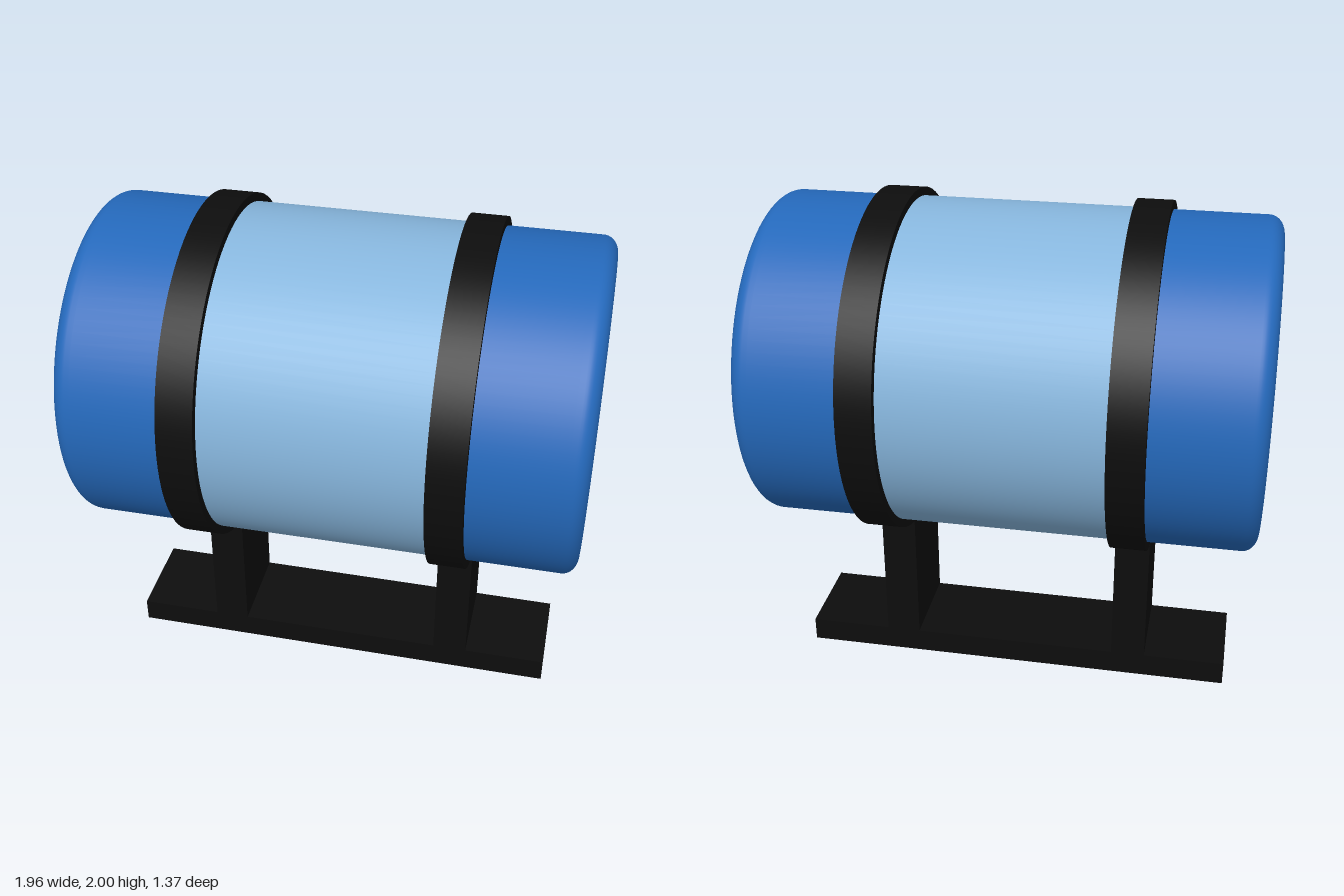
import * as THREE from 'three';

const SEGMENTS = 96;
const AXIS_Y = 1.315;

export function createModel() {
  const model = new THREE.Group();
  model.name = 'drumOnStand';

  const flat = (name, color) => {
    const m = new THREE.MeshStandardMaterial({ color });
    m.name = name;
    return m;
  };
  const blue = flat('deepBlue', 0x2468ba);
  const lightBlue = flat('lightBlue', 0x86b5dc);
  const black = flat('black', 0x0d0d0d);

  const add = (name, geometry, material, x, y) => {
    const mesh = new THREE.Mesh(geometry, material);
    mesh.name = name;
    mesh.position.set(x, y, 0);
    model.add(mesh);
    return mesh;
  };

  // End cap profile: straight wall, softly rounded rim, flat end
  const profile = [new THREE.Vector2(0.65, 0.48), new THREE.Vector2(0.65, 0.9)];
  const rimSteps = 10;
  for (let i = 0; i <= rimSteps; i++) {
    const a = (i / rimSteps) * Math.PI / 2;
    profile.push(new THREE.Vector2(0.58 + 0.07 * Math.cos(a), 0.92 + 0.06 * Math.sin(a)));
  }
  profile.push(new THREE.Vector2(0.56, 0.98), new THREE.Vector2(0, 0.98));
  const capGeometry = new THREE.LatheGeometry(profile, SEGMENTS);

  // Middle section of the drum
  const middle = new THREE.CylinderGeometry(0.652, 0.652, 0.98, SEGMENTS, 1, true);
  add('drumMiddle', middle, lightBlue, 0, AXIS_Y).rotation.z = Math.PI / 2;

  // Each side: end cap, band around the drum and the post under it
  const bandGeometry = new THREE.CylinderGeometry(0.685, 0.685, 0.14, SEGMENTS);
  const postGeometry = new THREE.BoxGeometry(0.14, 0.6, 0.375);
  for (const [label, side] of [['left', 1], ['right', -1]]) {
    add(label + 'EndCap', capGeometry, blue, 0, AXIS_Y).rotation.z = -side * Math.PI / 2;
    add(label + 'Band', bandGeometry, black, side * 0.49, AXIS_Y).rotation.z = Math.PI / 2;
    add(label + 'Post', postGeometry, black, side * 0.49, 0.38);
  }

  // Base plate
  add('basePlate', new THREE.BoxGeometry(1.79, 0.1, 0.375), black, 0, 0.05);

  return model;
}
